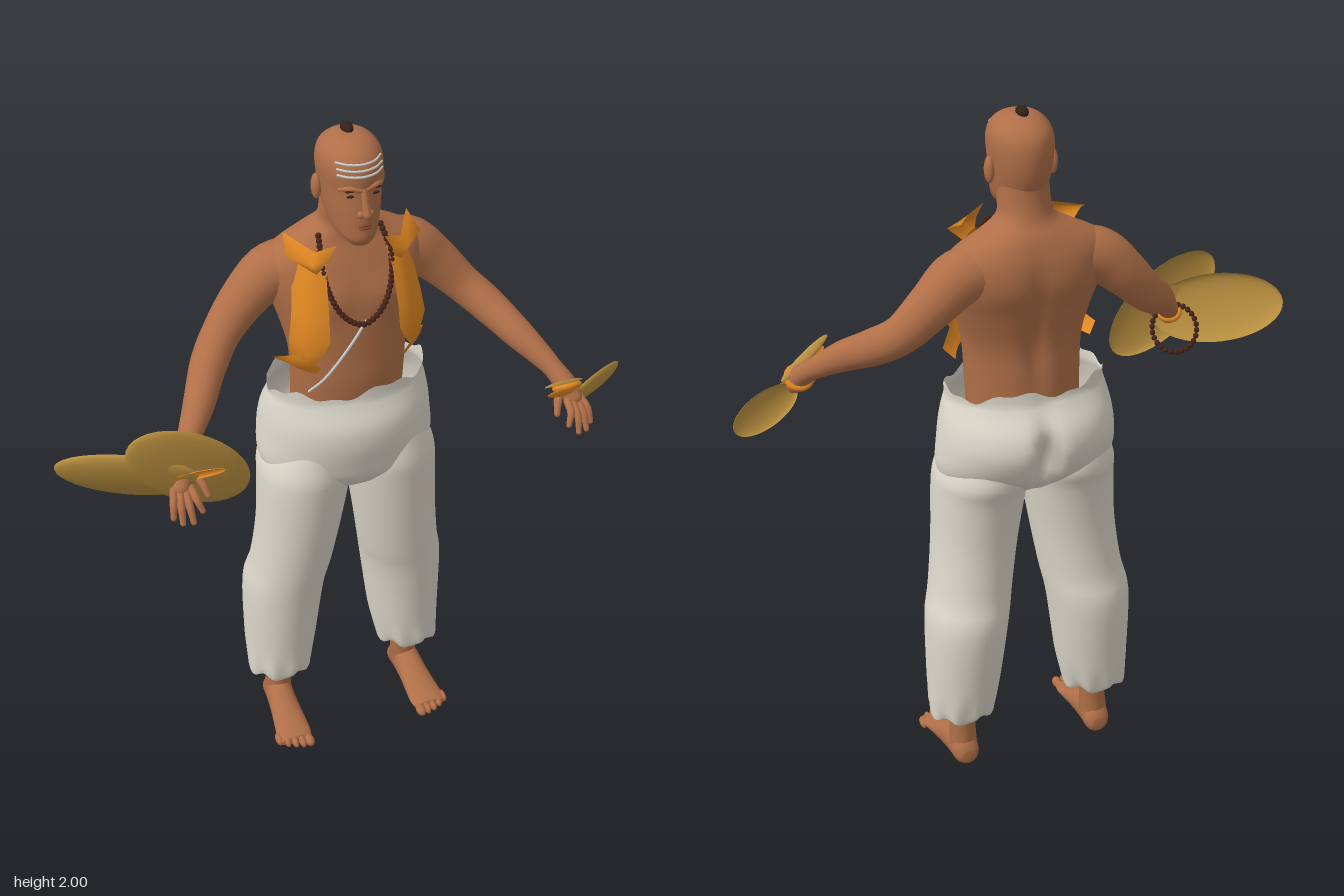
import * as THREE from 'three';
import { mergeGeometries } from 'three/addons/utils/BufferGeometryUtils.js';

const CX = 0.045; // body centre line
const V = (x, y, z) => new THREE.Vector3(x, y, z);
const mat = (name, color, side = THREE.FrontSide) => {
  const m = new THREE.MeshStandardMaterial({ color, side });
  m.name = name;
  return m;
};

// Smoothly subdivide rings of [y, centreX, halfWidth, zFront, zBack]
function densify(rings, n = 4) {
  const at = i => rings[Math.min(Math.max(i, 0), rings.length - 1)];
  const out = [];
  for (let i = 0; i < rings.length - 1; i++) for (let k = 0; k < n; k++) {
    const t = k / n;
    out.push(rings[i].map((_, c) => {
      const [p, a, b, q] = [at(i - 1)[c], at(i)[c], at(i + 1)[c], at(i + 2)[c]];
      const m0 = (b - p) / 2, m1 = (q - a) / 2, d = b - a;
      return a + t * (m0 + t * (3 * d - 2 * m0 - m1 + t * (m0 + m1 - 2 * d)));
    }));
  }
  out.push(at(rings.length));
  return out;
}

// Skin stacked oval rings; deform may move each point
function loft(rings, { seg = 40, cap = true, deform } = {}) {
  const rows = densify(rings), pos = [], idx = [];
  rows.forEach(([y, cx, rx, zf, zb]) => {
    for (let j = 0; j < seg; j++) {
      const a = j / seg * Math.PI * 2, c = Math.cos(a);
      const v = V(cx + rx * Math.sin(a), y, (zf + zb) / 2 + (zf - zb) / 2 * c);
      if (deform) deform(v, a);
      pos.push(v.x, v.y, v.z);
    }
  });
  for (let i = 0; i < rows.length - 1; i++) for (let j = 0; j < seg; j++) {
    const a = i * seg + j, b = i * seg + (j + 1) % seg;
    idx.push(a, b, a + seg, b, b + seg, a + seg);
  }
  if (cap) [0, rows.length - 1].forEach(i => {
    const [y, cx, , zf, zb] = rows[i], c = pos.length / 3;
    pos.push(cx, y, (zf + zb) / 2);
    for (let j = 0; j < seg; j++) {
      const a = i * seg + j, b = i * seg + (j + 1) % seg;
      i ? idx.push(c, a, b) : idx.push(c, b, a);
    }
  });
  const g = new THREE.BufferGeometry();
  g.setAttribute('position', new THREE.Float32BufferAttribute(pos, 3));
  g.setIndex(idx);
  g.computeVertexNormals();
  return g;
}

// Front surface depth of a ring stack at a given offset and height
function surfZ(rings, dx, y) {
  const rows = densify(rings);
  const i = Math.max(1, rows.findIndex(r => r[0] >= y));
  const t = (y - rows[i - 1][0]) / (rows[i][0] - rows[i - 1][0]);
  const [, , rx, zf, zb] = rows[i].map((b, c) => rows[i - 1][c] + (b - rows[i - 1][c]) * t);
  return (zf + zb) / 2 + (zf - zb) / 2 * Math.sqrt(Math.max(0, 1 - (dx / rx) ** 2));
}

const ball = (p, r, s = [1, 1, 1], n = 14) =>
  new THREE.SphereGeometry(r, n, Math.ceil(n * 0.7)).scale(...s).translate(p.x, p.y, p.z);

// Round limb through [x, y, z, radius] points
function limb(pts, seg = 14) {
  const curve = new THREE.CatmullRomCurve3(pts.map(p => V(p[0], p[1], p[2])));
  const n = pts.length * 5, g = new THREE.TubeGeometry(curve, n, 1, seg), a = g.attributes.position;
  for (let i = 0; i <= n; i++) {
    const p = curve.getPointAt(i / n), t = curve.getUtoTmapping(i / n) * (pts.length - 1);
    const k = Math.min(Math.floor(t), pts.length - 2);
    const r = THREE.MathUtils.lerp(pts[k][3], pts[k + 1][3], t - k);
    for (let j = 0; j <= seg; j++) {
      const q = i * (seg + 1) + j, v = V().fromBufferAttribute(a, q).sub(p).multiplyScalar(r).add(p);
      a.setXYZ(q, v.x, v.y, v.z);
    }
  }
  const ends = [pts[0], pts[pts.length - 1]].map(p => ball(V(...p), p[3], [1, 1, 1], seg));
  return mergeGeometries([g, ...ends]);
}

// Open sheet from rows of [x, y, z] points
function sheet(rows) {
  const w = rows[0].length, idx = [];
  for (let i = 0; i < rows.length - 1; i++) for (let j = 0; j < w - 1; j++) {
    const a = i * w + j;
    idx.push(a, a + w, a + 1, a + 1, a + w, a + w + 1);
  }
  const g = new THREE.BufferGeometry();
  g.setAttribute('position', new THREE.Float32BufferAttribute(rows.flat(2), 3));
  g.setIndex(idx);
  g.computeVertexNormals();
  return g;
}

// Shallow oval dish spanned by two directions
function dish(c, major, minor, a, b, h) {
  const X = major.clone().normalize();
  const Z = minor.clone().addScaledVector(X, -minor.dot(X)).normalize();
  const g = new THREE.SphereGeometry(1, 36, 8, 0, Math.PI * 2, 0, Math.PI / 2).scale(a, h, b);
  return g.applyMatrix4(new THREE.Matrix4().makeBasis(X, Z.clone().cross(X), Z).setPosition(c));
}

const beads = (curve, n, r) =>
  mergeGeometries(curve.getSpacedPoints(n).map(p => ball(p, r, [1, 1, 1], 8)));

export function createModel() {
  const group = new THREE.Group();
  const add = (name, geo, m) => {
    const mesh = new THREE.Mesh(geo, m);
    mesh.name = name;
    group.add(mesh);
  };
  const skin = mat('skin', 0xb06f48), lip = mat('lips', 0x84492f), dark = mat('dark hair', 0x33201a);
  const cloth = mat('off white cloth', 0xdcd8cb, THREE.DoubleSide);
  const orange = mat('orange cloth', 0xe08722, THREE.DoubleSide);
  const brass = mat('brass', 0xb98f3f, THREE.DoubleSide);
  const bead = mat('dark beads', 0x45241b), pale = mat('pale paint', 0xc9d0d0);

  // Torso and neck
  const torso = [[1.14, .16, .04, -.19], [1.25, .163, .05, -.185], [1.35, .17, .045, -.18], [1.45, .195, .04, -.2],
    [1.53, .22, .028, -.217], [1.6, .23, .005, -.215], [1.64, .2, -.012, -.205], [1.675, .135, -.025, -.19],
    [1.71, .078, -.022, -.168], [1.76, .07, -.005, -.155], [1.83, .068, .0, -.15]].map(r => [r[0], CX, ...r.slice(1)]);
  add('torso', loft(torso, { seg: 56, deform: (v, a) => {
    const d = Math.abs(v.x - CX), g = (x, c, w) => Math.exp(-(((x - c) / w) ** 2));
    if (Math.cos(a) > 0) v.z += .014 * g(d, .085, .05) * g(v.y, 1.52, .05);
    else v.z += .016 * g(d, 0, .028) * g(v.y, 1.4, .2) - .008 * g(d, .11, .06) * g(v.y, 1.55, .06);
  } }), skin);

  // Head and face
  const head = [[1.7, .028, .052, .0], [1.72, .05, .062, -.06], [1.75, .066, .062, -.125], [1.8, .076, .06, -.155],
    [1.85, .082, .054, -.168], [1.9, .086, .055, -.169], [1.935, .08, .042, -.158], [1.96, .062, .015, -.13],
    [1.974, .038, -.02, -.1], [1.979, .006, -.055, -.067]].map(r => [r[0], CX, ...r.slice(1)]);
  add('head', loft(head), skin);
  add('nose', mergeGeometries([limb([[CX, 1.862, .05, .008], [CX, 1.83, .063, .01], [CX, 1.803, .075, .012]], 10),
    ...[-1, 1].map(s => ball(V(CX + s * .013, 1.8, .064), .01))]), skin);
  add('lips', mergeGeometries([[1.765, .019], [1.756, .017]].map(([y, w]) =>
    ball(V(CX, y, surfZ(head, 0, y) - .001), 1, [w, .005, .007]))), lip);
  add('topknot', ball(V(CX, 1.981, -.073), 1, [.016, .015, .026]), dark);
  for (const s of [-1, 1]) {
    const ez = surfZ(head, .033, 1.847);
    add('ear', ball(V(CX + s * .088, 1.832, -.065), 1, [.013, .037, .021]), skin);
    add('brow', limb([[CX + s * .01, 1.864, .052, .006], [CX + s * .035, 1.87, .046, .008], [CX + s * .058, 1.862, .024, .005]], 8), skin);
    add('eyebrow', ball(V(CX + s * .035, 1.866, .05), 1, [.017, .0025, .006]), dark);
    add('eye', ball(V(CX + s * .033, 1.847, ez), 1, [.013, .004, .004]), dark);
  }
  [1.903, 1.918, 1.933].forEach(y => add('forehead stripe', new THREE.TubeGeometry(
    new THREE.CatmullRomCurve3([-.062, -.04, -.02, 0, .02, .04, .062].map(d => V(CX + d, y, surfZ(head, d, y)))),
    24, .0035, 6), pale));

  // Trouser hips with an uneven waist and a seat crease
  const hips = [[.9, .17, .03, -.16], [.95, .235, .07, -.215], [1, .256, .084, -.258], [1.07, .252, .096, -.286],
    [1.13, .244, .092, -.275], [1.18, .233, .07, -.238], [1.205, .226, .06, -.222], [1.23, .227, .057, -.217]];
  add('trouser hips', loft(hips.map(r => [r[0], CX, ...r.slice(1)]), { seg: 80, cap: false, deform: (v, a) => {
    const d = v.x - CX;
    if (Math.cos(a) < 0) v.z += .07 * Math.exp(-((d / .03) ** 2)) * Math.exp(-(((v.y - 1.03) / .1) ** 2));
    if (v.y > 1.2) v.y += .4 * (v.y - 1.2) * (Math.sin(5 * a) + .5 * Math.sin(13 * a));
  } }), cloth);

  for (const s of [-1, 1]) {
    const side = s > 0 ? 'left' : 'right';
    const X = d => CX + s * d;
    const P = (d, y, z) => V(X(d), y, z);
    const arm = pts => pts.map(([d, ...r]) => [X(d), ...r]);

    // Trouser leg: [y, inner, outer, zFront, zBack]
    const leg = [[.185, .118, .3, -.01, -.197], [.21, .11, .303, -.004, -.205], [.3, .092, .306, .002, -.218],
      [.5, .066, .306, .02, -.235], [.6, .048, .287, .035, -.213], [.75, .024, .27, .055, -.202],
      [.9, .0, .264, .072, -.215], [.97, -.005, .256, .075, -.235], [1.05, .02, .22, .06, -.22]]
      .map(([y, i, o, f, b]) => [y, X((i + o) / 2), (o - i) / 2, f, b]);
    add(side + ' trouser leg', loft(leg, { seg: 48, cap: false, deform: (v, a) => {
      const k = Math.max(0, .3 - v.y);
      v.z += .04 * k * Math.sin(9 * a);
      v.x += .03 * k * Math.cos(7 * a);
      if (v.y < .2) v.y += .008 * Math.sin(6 * a);
    } }), cloth);

    // Ankle and foot
    add(side + ' shin', limb(arm([[.208, .06, -.115, .042], [.206, .13, -.112, .037], [.203, .22, -.113, .044], [.2, .38, -.11, .055]])), skin);
    const foot = [[-.168, .02, .055, .018], [-.15, .037, .085, .004], [-.1, .041, .11, 0], [-.04, .044, .085, 0],
      [.02, .05, .056, 0], [.06, .053, .04, 0], [.088, .048, .03, .004]]
      .map(([z, w, top, low]) => [z, X(.208 + .05 * (z + .15)), w, -low, -top]);
    add(side + ' foot', loft(foot, { seg: 28 }).rotateX(Math.PI / 2), skin);
    add(side + ' toes', mergeGeometries([0, 1, 2, 3, 4].map(i =>
      ball(P(.183 + i * .0215, .016, .1 - i * i * .0022), 1, [i ? .0105 : .015, .015, .024], 10))), skin);

    // Arm and hand
    add(side + ' arm', limb(arm([[.11, 1.585, -.115, .075], [.2, 1.565, -.12, .076], [.27, 1.505, -.12, .065],
      [.35, 1.42, -.095, .053], [.405, 1.37, -.04, .051], [.465, 1.31, .05, .043], [.53, 1.24, .135, .028],
      [.555, 1.2, .18, .032], [.568, 1.17, .2, .026]]), 20), skin);
    const tips = [[.53, 1.125, .262], [.558, 1.1, .27], [.585, 1.098, .262], [.605, 1.108, .245]];
    const fingers = tips.map(([d, y, z], i) => {
      const b = [.545 + i * .014, 1.17, .215 - i * .006];
      return limb(arm([[...b, .012], [(b[0] + d) / 2 + .003, (b[1] + y) / 2 + .008, (b[2] + z) / 2 + .01, .011], [d, y, z, .008]]), 8);
    });
    fingers.push(limb(arm([[.54, 1.205, .18, .014], [.515, 1.18, .215, .012], [.505, 1.15, .235, .008]]), 8));
    add(side + ' fingers', mergeGeometries(fingers), skin);

    // Open vest panel: [y, inner, outer, zInner, zOuter]
    const rows = [[1.65, .085, .155, -.005, -.06], [1.6, .093, .168, .025, -.035], [1.5, .098, .185, .058, .002],
      [1.43, .1, .196, .07, .012], [1.39, .118, .192, .066, .004], [1.365, .135, .182, .055, 0],
      [1.335, .12, .222, .05, -.055], [1.31, .128, .195, .03, -.08]];
    add(side + ' vest panel', sheet(rows.map(([y, i, o, a, b]) => [0, .25, .5, .75, 1].map(t =>
      [X(i + (o - i) * t), y, a + (b - a) * t + .015 * Math.sin(t * Math.PI)]))), orange);
    add(side + ' collar', sheet([
      [[X(.068), 1.7, .03], [X(.12), 1.68, .01], [X(.175), 1.7, -.085]],
      [[X(.09), 1.66, .03], [X(.135), 1.655, .035], [X(.19), 1.665, -.02]],
      [[X(.105), 1.62, .01], [X(.12), 1.618, .02], [X(.155), 1.635, -.04]]]), orange);

    // Cloth strap tying the cymbal to the hand
    add(side + ' strap', new THREE.TorusGeometry(.034, .009, 8, 24).rotateX(.9).translate(X(.557), 1.197, .183), orange);
    add(side + ' strap tail', dish(P(.525, 1.215, .225), V(s * -.08, .03, .04), V(0, 1, .4), .075, .016, .008), orange);
  }

  // Prayer beads and thread on the chest
  const half = [[.088, 1.69, -.05], [.096, 1.64], [.093, 1.58], [.068, 1.51], [.035, 1.473]];
  const lay = ([d, y, z], s) => V(CX + s * d, y, z ?? surfZ(torso, d, y) + .02);
  add('necklace', beads(new THREE.CatmullRomCurve3([...half.map(p => lay(p, -1)), lay([0, 1.458], 1),
    ...half.reverse().map(p => lay(p, 1))]), 42, .0088), bead);
  add('chest thread', new THREE.TubeGeometry(new THREE.CatmullRomCurve3([0, .2, .4, .6, .8, 1].map(t => {
    const d = -.137 + .15 * t, y = 1.235 + .225 * t;
    return V(CX + d, y, surfZ(torso, d, y) + .006);
  })), 30, .004, 6), pale);
  const loop = Array.from({ length: 12 }, (_, i) => {
    const a = i / 6 * Math.PI;
    return V(-.515 + .07 * Math.cos(a), 1.155 + .06 * Math.sin(a), .14 + .035 * Math.sin(a));
  });
  add('wrist beads', beads(new THREE.CatmullRomCurve3(loop, true), 26, .0085), bead);

  // Cymbals
  add('right rear cymbal', dish(V(-.645, 1.2, .135), V(.37, -.04, .14), V(0, -.095, -.045), .195, .1, .03), brass);
  add('right front cymbal', dish(V(-.495, 1.218, .185), V(.8, -.6, -.06), V(-.6, -.8, -.05), .2, .103, .025), brass);
  add('left cymbal', dish(V(.715, 1.148, .125), V(.2, -.02, -.12), V(0, -.09, -.04), .125, .05, .02), brass);
  add('left cymbal rim', dish(V(.575, 1.235, .215), V(.14, -.06, -.08), V(0, .6, 1), .1, .015, .008), brass);
  return group;
}
